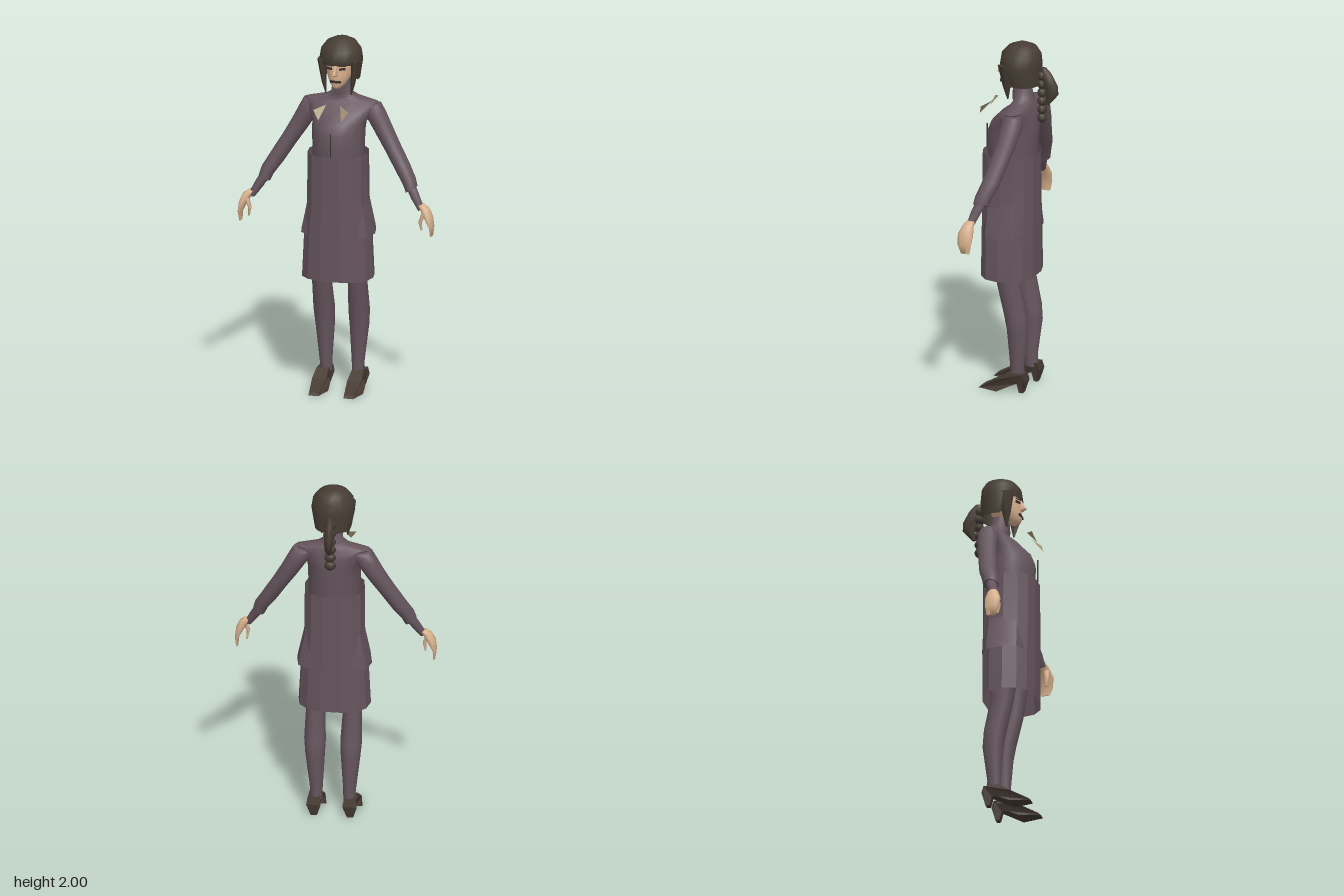
import * as THREE from 'three';
import { toCreasedNormals } from 'three/addons/utils/BufferGeometryUtils.js';

const mat = (name, color, side = THREE.FrontSide) => {
  const m = new THREE.MeshStandardMaterial({ color, side });
  m.name = name;
  return m;
};

// Skin over elliptical rings [x, y, z, rx, rz], listed from bottom to top.
// tilt leans the rings sideways, power < 1 squares them off.
function loft(rings, { sides = 12, tilt = 0, power = 1, caps = true, crease = 0.9 } = {}) {
  const pos = [], idx = [];
  const bend = v => Math.sign(v) * Math.abs(v) ** power;
  for (const [x, y, z, rx, rz] of rings) {
    for (let j = 0; j < sides; j++) {
      const t = (j / sides) * Math.PI * 2;
      const c = bend(Math.cos(t)) * rx, s = bend(Math.sin(t)) * rz;
      pos.push(x + c * Math.cos(tilt), y + c * Math.sin(tilt), z + s);
    }
  }
  const n = rings.length, top = (n - 1) * sides;
  for (let i = 0; i < n - 1; i++) {
    for (let j = 0; j < sides; j++) {
      const a = i * sides + j, b = i * sides + (j + 1) % sides;
      idx.push(a, a + sides, b, b, a + sides, b + sides);
    }
  }
  if (caps) {
    pos.push(...rings[0].slice(0, 3), ...rings[n - 1].slice(0, 3));
    for (let j = 0; j < sides; j++) {
      const k = (j + 1) % sides;
      idx.push(n * sides, j, k, n * sides + 1, top + k, top + j);
    }
  }
  const g = new THREE.BufferGeometry();
  g.setAttribute('position', new THREE.Float32BufferAttribute(pos, 3));
  g.setIndex(idx);
  return toCreasedNormals(g, crease);
}

// Mirrored copy across x = 0 with its corners turned the right way round
function mirrored(geo) {
  const g = geo.index ? geo.toNonIndexed() : geo.clone();
  const p = g.attributes.position, n = g.attributes.normal;
  for (const a of [p, n]) {
    for (let i = 0; i < a.count; i += 3) {
      const v = [0, 2, 1].map(k => [-a.getX(i + k), a.getY(i + k), a.getZ(i + k)]);
      v.forEach((q, k) => a.setXYZ(i + k, ...q));
    }
  }
  return g;
}

// Pointed shoe with a thin heel, from a side outline
function shoeGeometry() {
  const outline = [[0.2, 0], [0.185, 0.014], [0.09, 0.065], [0.025, 0.112], [-0.065, 0.112],
    [-0.075, 0.07], [-0.058, 0], [-0.036, 0], [-0.022, 0.05], [0.02, 0.035], [0.085, 0]];
  const shape = new THREE.Shape(outline.map(p => new THREE.Vector2(...p)));
  const g = new THREE.ExtrudeGeometry(shape, { depth: 0.1, bevelEnabled: false });
  g.translate(0, 0, -0.05).rotateY(-Math.PI / 2);
  const p = g.attributes.position;
  for (let i = 0; i < p.count; i++) {
    const y = p.getY(i), z = p.getZ(i);
    let k = 1 - 3 * y;
    if (z < -0.01 && y < 0.06) k = 0.35;
    if (z > 0.15) k = 0.55;
    p.setX(i, 0.1 + p.getX(i) * k);
  }
  g.computeVertexNormals();
  return g;
}

export function createModel() {
  const model = new THREE.Group();
  model.name = 'woman';
  const suit = mat('plum cloth', 0x65555d);
  const cloth = mat('plum open cloth', 0x65555d, THREE.DoubleSide);
  const skin = mat('skin', 0xd9b28e);
  const hair = mat('dark brown hair', 0x463d33, THREE.DoubleSide);
  const leather = mat('brown leather', 0x463b32);
  const dark = mat('dark make-up', 0x3a3034);
  const tan = mat('tan collar', 0xa59473, THREE.DoubleSide);

  const add = (name, geo, material) => {
    const m = new THREE.Mesh(geo, material);
    m.name = name;
    model.add(m);
  };
  const pair = (name, geo, material) => {
    add('left' + name, geo, material);
    add('right' + name, mirrored(geo), material);
  };

  // Jacket and neck
  add('torso', loft([
    [0, 1.3, 0.05, 0.14, 0.13], [0, 1.37, 0.05, 0.145, 0.138], [0, 1.48, 0.048, 0.147, 0.142],
    [0, 1.54, 0.033, 0.152, 0.133], [0, 1.6, 0.008, 0.185, 0.1], [0, 1.645, -0.015, 0.21, 0.066],
    [0, 1.668, -0.018, 0.1, 0.057], [0, 1.69, -0.01, 0.058, 0.058], [0, 1.77, -0.005, 0.048, 0.052],
  ], { sides: 16, crease: 1.1 }), suit);

  // Skirt tube, with the flared peplum breaking through at the hips
  add('skirt', loft([[0, 0.66, 0.057, 0.2, 0.152], [0, 0.93, 0.057, 0.186, 0.152],
    [0, 1.1, 0.057, 0.168, 0.152], [0, 1.37, 0.057, 0.166, 0.152]],
  { sides: 14, power: 0.8, caps: false, crease: 0.3 }), cloth);
  add('peplum', loft([[0, 0.91, 0.05, 0.207, 0.135], [0, 0.94, 0.05, 0.203, 0.135],
    [0, 1.08, 0.05, 0.172, 0.125], [0, 1.2, 0.05, 0.15, 0.12]],
  { sides: 12, power: 0.65, caps: false, crease: 0.5 }), cloth);
  add('hips', loft([[0, 0.8, 0.045, 0.17, 0.1], [0, 0.95, 0.045, 0.17, 0.12],
    [0, 1.3, 0.05, 0.14, 0.13]]), suit);

  // Arms
  const tilt = 0.53;
  pair('Sleeve', loft([
    [0.42, 1.185, 0.058, 0.036, 0.044], [0.405, 1.225, 0.05, 0.039, 0.046],
    [0.36, 1.295, 0.026, 0.043, 0.05], [0.295, 1.4, 0.004, 0.045, 0.052],
    [0.24, 1.49, -0.014, 0.05, 0.055], [0.2, 1.56, -0.022, 0.054, 0.058],
    [0.168, 1.61, -0.022, 0.058, 0.056], [0.13, 1.625, -0.02, 0.03, 0.04],
  ], { tilt }), suit);
  pair('Wrist', loft([[0.485, 1.085, 0.093, 0.019, 0.022], [0.445, 1.15, 0.075, 0.026, 0.03],
    [0.41, 1.21, 0.055, 0.028, 0.032]], { sides: 8, tilt }), suit);

  // Hands
  pair('Hand', loft([
    [0.545, 0.94, 0.095, 0.006, 0.026], [0.547, 0.99, 0.1, 0.011, 0.04],
    [0.53, 1.045, 0.1, 0.022, 0.045], [0.506, 1.09, 0.095, 0.025, 0.032],
    [0.482, 1.112, 0.09, 0.02, 0.023],
  ], { sides: 10, tilt: 0.25, crease: 1.2 }), skin);
  pair('Thumb', loft([[0.494, 0.972, 0.115, 0.005, 0.008], [0.487, 1.02, 0.12, 0.01, 0.014],
    [0.508, 1.075, 0.11, 0.014, 0.018]], { sides: 7, crease: 1.2 }), skin);

  // Legs and shoes
  pair('Leg', loft([
    [0.09, 0.09, -0.018, 0.032, 0.04], [0.092, 0.16, -0.015, 0.036, 0.04],
    [0.098, 0.36, -0.02, 0.054, 0.06], [0.1, 0.45, -0.008, 0.06, 0.064],
    [0.102, 0.62, 0.03, 0.053, 0.068], [0.1, 0.9, 0.05, 0.08, 0.09],
  ]), suit);
  pair('Shoe', shoeGeometry(), leather);

  // Head and face
  add('head', loft([
    [0, 1.735, 0.075, 0.022, 0.03], [0, 1.757, 0.052, 0.045, 0.063], [0, 1.8, 0.03, 0.066, 0.085],
    [0, 1.86, 0.018, 0.076, 0.096], [0, 1.92, 0.015, 0.08, 0.09],
  ], { sides: 16, crease: 1.1 }), skin);
  add('nose', loft([[0, 1.805, 0.112, 0.012, 0.008], [0, 1.818, 0.118, 0.014, 0.028],
    [0, 1.87, 0.108, 0.007, 0.008]], { sides: 6 }), skin);
  const lips = new THREE.BoxGeometry(0.062, 0.014, 0.009);
  add('lips', lips.translate(0, 1.776, 0.111), dark);
  const eye = new THREE.BoxGeometry(0.034, 0.013, 0.006);
  pair('Eye', eye.rotateY(0.42).translate(0.037, 1.848, 0.104), dark);
  const brow = new THREE.BoxGeometry(0.04, 0.006, 0.006);
  pair('Brow', brow.rotateY(0.42).translate(0.037, 1.866, 0.106), hair);

  // Hair cap: the lower edge is lifted in front to form the fringe
  const cap = loft([
    [0, 1.77, -0.015, 0.1, 0.093], [0, 1.88, 0.002, 0.121, 0.117], [0, 1.94, 0, 0.111, 0.11],
    [0, 1.98, -0.005, 0.08, 0.082], [0, 2, -0.005, 0.036, 0.04],
  ], { sides: 18, caps: false, crease: 0.9 });
  const p = cap.attributes.position;
  for (let i = 0; i < p.count; i++) {
    if (p.getY(i) < 1.78 && p.getZ(i) > 0.025) {
      p.setXYZ(i, p.getX(i) * 1.18, 1.868, p.getZ(i) * 1.22 + 0.025);
    }
  }
  add('hairCap', cap, hair);
  const crown = new THREE.CircleGeometry(0.04, 18);
  add('hairCrown', crown.rotateX(-Math.PI / 2).translate(0, 1.9995, -0.005), hair);
  pair('SideLock', loft([[0.072, 1.69, 0.05, 0.003, 0.004], [0.083, 1.76, 0.052, 0.013, 0.022],
    [0.097, 1.89, 0.05, 0.02, 0.05]], { sides: 8 }), hair);

  // Ponytail and beaded braid
  add('ponytail', loft([
    [0, 1.665, -0.155, 0.01, 0.012], [0, 1.73, -0.185, 0.023, 0.036], [0, 1.78, -0.172, 0.026, 0.046],
    [0, 1.84, -0.145, 0.024, 0.04], [0, 1.875, -0.13, 0.012, 0.02],
  ], { sides: 8 }), hair);
  for (let i = 0; i < 6; i++) {
    const bead = new THREE.SphereGeometry(0.03, 9, 7);
    bead.scale(1.1, 0.95, 0.9).translate(0, 1.83 - i * 0.049, -0.125);
    add('braidBead', bead, hair);
  }

  // Loose collar points and front seam
  const collar = new THREE.BufferGeometry();
  collar.setAttribute('position', new THREE.Float32BufferAttribute([
    0.04, 1.655, 0.155, 0.065, 1.58, 0.22, 0.1, 1.632, 0.2], 3));
  collar.computeVertexNormals();
  pair('CollarPoint', collar, tan);
  add('frontSeam', new THREE.BoxGeometry(0.004, 0.13, 0.008).translate(0, 1.435, 0.206), dark);

  return model;
}
